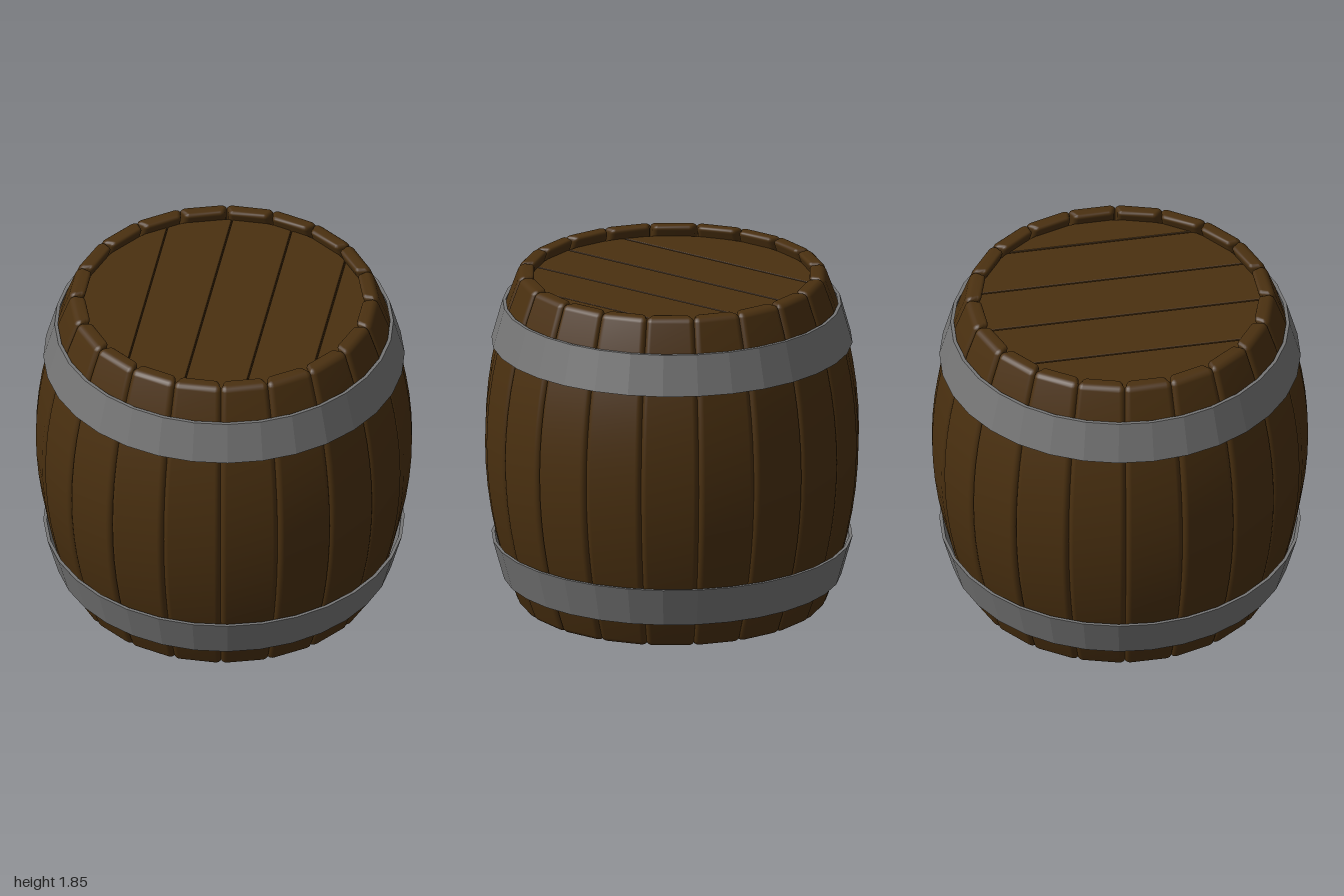
import * as THREE from 'three';

const HEIGHT = 1.85, MID = HEIGHT / 2, STAVES = 20;

// Outer radius of the bulging side at a given height
const bulge = (y) => 1 - 0.185 * ((y - MID) / MID) ** 2;

// Rounded wedge section of a stave: x across, z outward
function staveSection(y, inset) {
  const bevel = 0.03, R = bulge(y), r = R - 0.085, slope = Math.tan(Math.PI / STAVES);
  const wo = R * slope - 0.003 - bevel, wi = r * slope - 0.003 - bevel;
  const centres = [[-wo, R - bevel], [wo, R - bevel], [wi, r + bevel], [-wi, r + bevel]];
  const ring = [];
  centres.forEach(([cx, cz], c) => {
    for (let k = 0; k <= 4; k++) {
      const a = (c - 1 + k / 4) * Math.PI / 2;
      ring.push([cx + Math.sin(a) * (bevel - inset), y, cz + Math.cos(a) * (bevel - inset)]);
    }
  });
  return ring;
}

// Loft the sections from bottom to top, with rounded ends
function staveGeometry() {
  const e = 0.025, levels = [];
  for (let k = 0; k < 4; k++) {
    const a = k / 4 * Math.PI / 2;
    levels.push([e * (1 - Math.cos(a)), e * (1 - Math.sin(a))]);
  }
  const steps = 14;
  for (let k = 0; k <= steps; k++) levels.push([e + (HEIGHT - 2 * e) * k / steps, 0]);
  for (let k = 3; k >= 0; k--) levels.push([HEIGHT - levels[k][0], levels[k][1]]);

  const rings = levels.map(([y, inset]) => staveSection(y, inset));
  const n = rings[0].length, pos = rings.flat(2), index = [];
  for (let j = 0; j < rings.length - 1; j++) {
    for (let i = 0; i < n; i++) {
      const a = j * n + i, b = j * n + (i + 1) % n;
      index.push(a, b, b + n, a, b + n, a + n);
    }
  }
  // End caps
  const bottom = rings.length * n, top = bottom + 1, last = (rings.length - 1) * n;
  const zc = bulge(0) - 0.0425;
  pos.push(0, 0, zc, 0, HEIGHT, zc);
  for (let i = 0; i < n; i++) {
    const next = (i + 1) % n;
    index.push(bottom, next, i, top, last + i, last + next);
  }
  const geo = new THREE.BufferGeometry();
  geo.setAttribute('position', new THREE.Float32BufferAttribute(pos, 3));
  geo.setIndex(index);
  geo.computeVertexNormals();
  return geo;
}

// Sloping metal hoop with a thin wall and faceted sides
function hoopGeometry(y0, r0, y1, r1) {
  const t = 0.018;
  const profile = [[r0 - t, y0], [r0, y0], [r1, y1], [r1 - t, y1], [r0 - t, y0]];
  const geo = new THREE.LatheGeometry(profile.map((p) => new THREE.Vector2(...p)), 32).toNonIndexed();
  geo.computeVertexNormals();
  return geo;
}

// Lid board: a strip of a disc between x0 and x1
function plankGeometry(x0, x1) {
  const R = 0.765, steps = 10, points = [];
  const edge = (x) => Math.sqrt(Math.max(R * R - x * x, 0.0004));
  for (let k = 0; k <= steps; k++) {
    const x = x0 + (x1 - x0) * k / steps;
    points.push(new THREE.Vector2(x, -edge(x)));
  }
  for (let k = steps; k >= 0; k--) {
    const x = x0 + (x1 - x0) * k / steps;
    points.push(new THREE.Vector2(x, edge(x)));
  }
  const bevel = 0.008;
  const geo = new THREE.ExtrudeGeometry(new THREE.Shape(points), {
    depth: 0.06 - 2 * bevel, bevelEnabled: true, bevelSize: bevel,
    bevelThickness: bevel, bevelOffset: -bevel, bevelSegments: 2,
  });
  geo.translate(0, 0, bevel - 0.03);
  geo.rotateX(-Math.PI / 2);
  return geo;
}

export function createModel() {
  const wood = new THREE.MeshStandardMaterial({ color: 0x4a3010 });
  wood.name = 'dark wood';
  const metal = new THREE.MeshStandardMaterial({ color: 0x767676 });
  metal.name = 'grey metal';

  const barrel = new THREE.Group();
  barrel.name = 'barrel';
  const add = (parent, name, geo, mat) => {
    const mesh = new THREE.Mesh(geo, mat);
    mesh.name = name;
    parent.add(mesh);
    return mesh;
  };

  // Ring of staves
  const staves = new THREE.Group();
  staves.name = 'staves';
  barrel.add(staves);
  const stave = staveGeometry();
  for (let i = 0; i < STAVES; i++) {
    add(staves, 'stave', stave, wood).rotation.y = i * 2 * Math.PI / STAVES;
  }

  // Top and bottom lids, set in from the rim
  const seams = [-0.76, -0.42, -0.09, 0.24, 0.57, 0.76];
  for (const [name, y] of [['topLid', 1.76], ['bottomLid', 0.09]]) {
    const lid = new THREE.Group();
    lid.name = name;
    lid.position.y = y;
    barrel.add(lid);
    for (let i = 0; i < seams.length - 1; i++) {
      add(lid, 'lidPlank', plankGeometry(seams[i] + 0.002, seams[i + 1] - 0.002), wood);
    }
  }

  // Hoops
  add(barrel, 'upperHoop', hoopGeometry(1.46, 0.968, 1.675, 0.908), metal);
  add(barrel, 'lowerHoop', hoopGeometry(0.15, 0.908, 0.365, 0.968), metal);
  return barrel;
}
